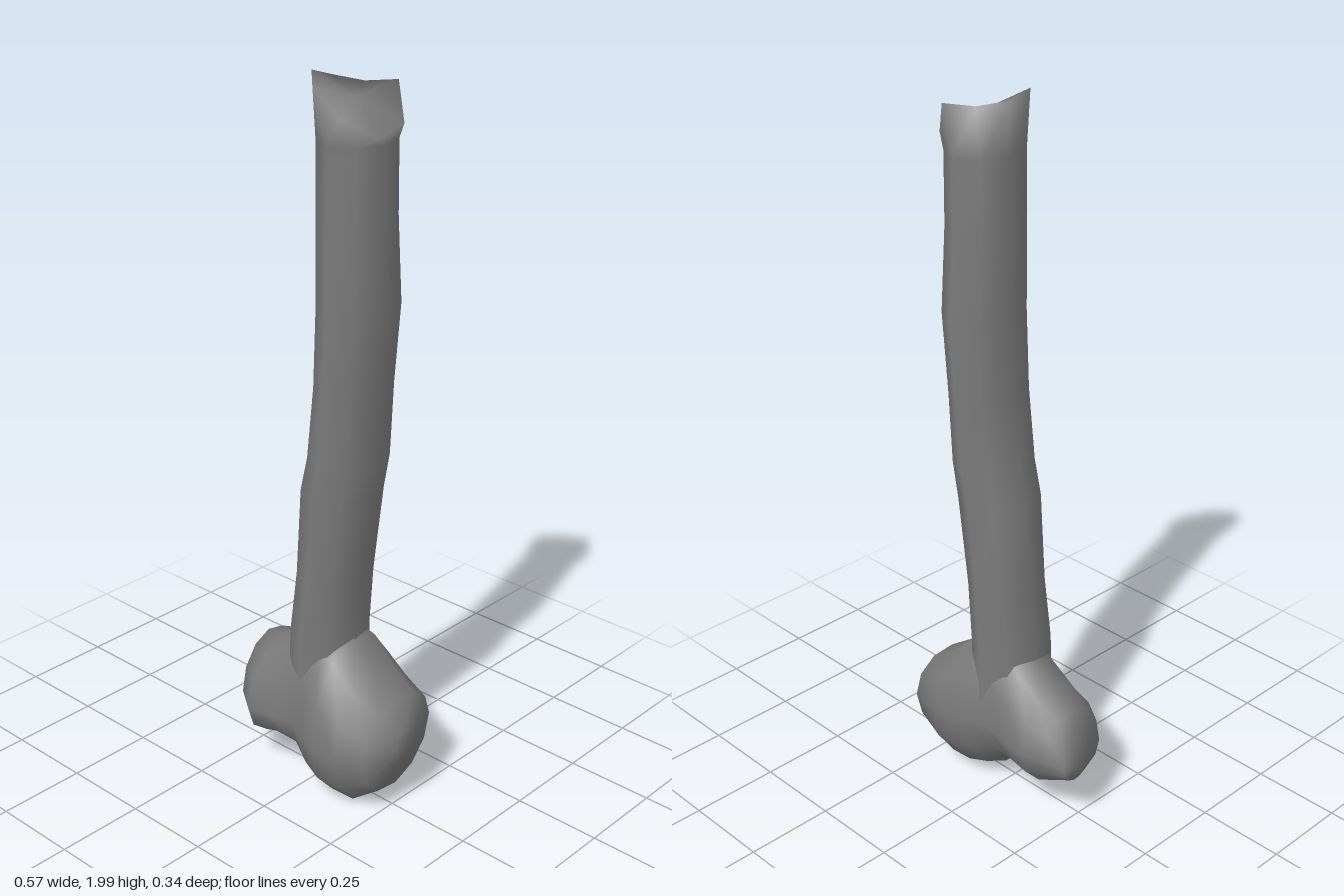
import * as THREE from 'three';

const material = new THREE.MeshStandardMaterial({ color: 0x7b7b7b });

// Skin a list of rings (equal point counts); each end is closed by a fan when asked.
function loft(name, rings, capStart, capEnd) {
  const n = rings[0].length, pos = rings.flat(2), idx = [];
  for (let i = 0; i < rings.length - 1; i++) {
    for (let j = 0; j < n; j++) {
      const a = i * n + j, b = i * n + (j + 1) % n;
      idx.push(a, a + n, b, b, a + n, b + n);
    }
  }
  const fan = (ring, start, flip) => {
    const c = pos.length / 3;
    for (let k = 0; k < 3; k++) pos.push(ring.reduce((s, p) => s + p[k], 0) / n);
    for (let j = 0; j < n; j++) {
      const a = start + j, b = start + (j + 1) % n;
      idx.push(c, flip ? b : a, flip ? a : b);
    }
  };
  if (capStart) fan(rings[0], 0, false);
  if (capEnd) fan(rings[rings.length - 1], (rings.length - 1) * n, true);
  const geo = new THREE.BufferGeometry();
  geo.setAttribute('position', new THREE.Float32BufferAttribute(pos, 3));
  geo.setIndex(idx);
  geo.computeVertexNormals();
  const mesh = new THREE.Mesh(geo, material);
  mesh.name = name;
  return mesh;
}

// Unit circle as [cos, sin] pairs
const circle = (n) => Array.from({ length: n }, (_, i) => {
  const a = (i / n) * Math.PI * 2;
  return [Math.cos(a), Math.sin(a)];
});

export function createModel() {
  const group = new THREE.Group();
  group.name = 'bone';

  // Shaft: y, xMin, xMax, zMin, zMax
  const shaftRings = [
    [0.3, -0.1, 0.115, -0.13, 0.112],
    [0.47, -0.088, 0.103, -0.13, 0.113],
    [0.65, -0.068, 0.118, -0.125, 0.105],
    [0.9, -0.055, 0.15, -0.13, 0.105],
    [1.0, -0.03, 0.168, -0.13, 0.105],
    [1.2, -0.005, 0.17, -0.137, 0.105],
    [1.42, 0, 0.192, -0.137, 0.103],
    [1.65, 0, 0.188, -0.122, 0.1],
    [1.84, 0.002, 0.186, -0.122, 0.1],
  ].map(([y, x0, x1, z0, z1]) => circle(8).map(([c, s]) => [
    (x0 + x1) / 2 + (x1 - x0) / 2 * c, y, (z0 + z1) / 2 + (z1 - z0) / 2 * s,
  ]));

  // Slanted broken rim at the top of the shaft
  const rim = [
    [0.188, 1.86, 0.02], [0.13, 1.91, 0.09], [0.05, 1.975, 0.1], [-0.005, 2, 0.045],
    [0, 1.98, -0.02], [0.06, 1.965, -0.073], [0.125, 1.97, -0.123], [0.182, 1.88, -0.08],
  ];
  group.add(loft('shaft', [...shaftRings, rim], false, true));

  // Knuckle end, skinned sideways and rising to meet the shaft: x, yMin, yMax, zMin, zMax
  const knuckleRings = [
    [-0.287, 0.17, 0.25, -0.1, -0.02],
    [-0.24, 0.13, 0.36, -0.125, 0.09],
    [-0.17, 0.088, 0.378, -0.148, 0.138],
    [-0.09, 0.11, 0.44, -0.145, 0.132],
    [-0.02, 0.085, 0.5, -0.132, 0.12],
    [0.04, 0.03, 0.5, -0.148, 0.145],
    [0.1, 0.01, 0.47, -0.17, 0.165],
    [0.17, 0.006, 0.39, -0.165, 0.153],
    [0.25, 0.07, 0.335, -0.15, 0.13],
    [0.286, 0.18, 0.27, -0.05, 0.03],
  ].map(([x, y0, y1, z0, z1]) => circle(12).map(([c, s]) => {
    const dz = -(z1 - z0) / 2 * s;
    const h = 0.2 + (y0 + y1) / 10 - 0.03; // height of the widest point
    const mid = Math.min(Math.max(h, y0 + 0.03), y1 - 0.03);
    // lean the section so the front bulges low and the back bulges high
    return [x, mid + (c > 0 ? y1 - mid : mid - y0) * c - 0.15 * dz, (z0 + z1) / 2 + dz];
  }));
  group.add(loft('knuckles', knuckleRings, true, true));

  return group;
}
